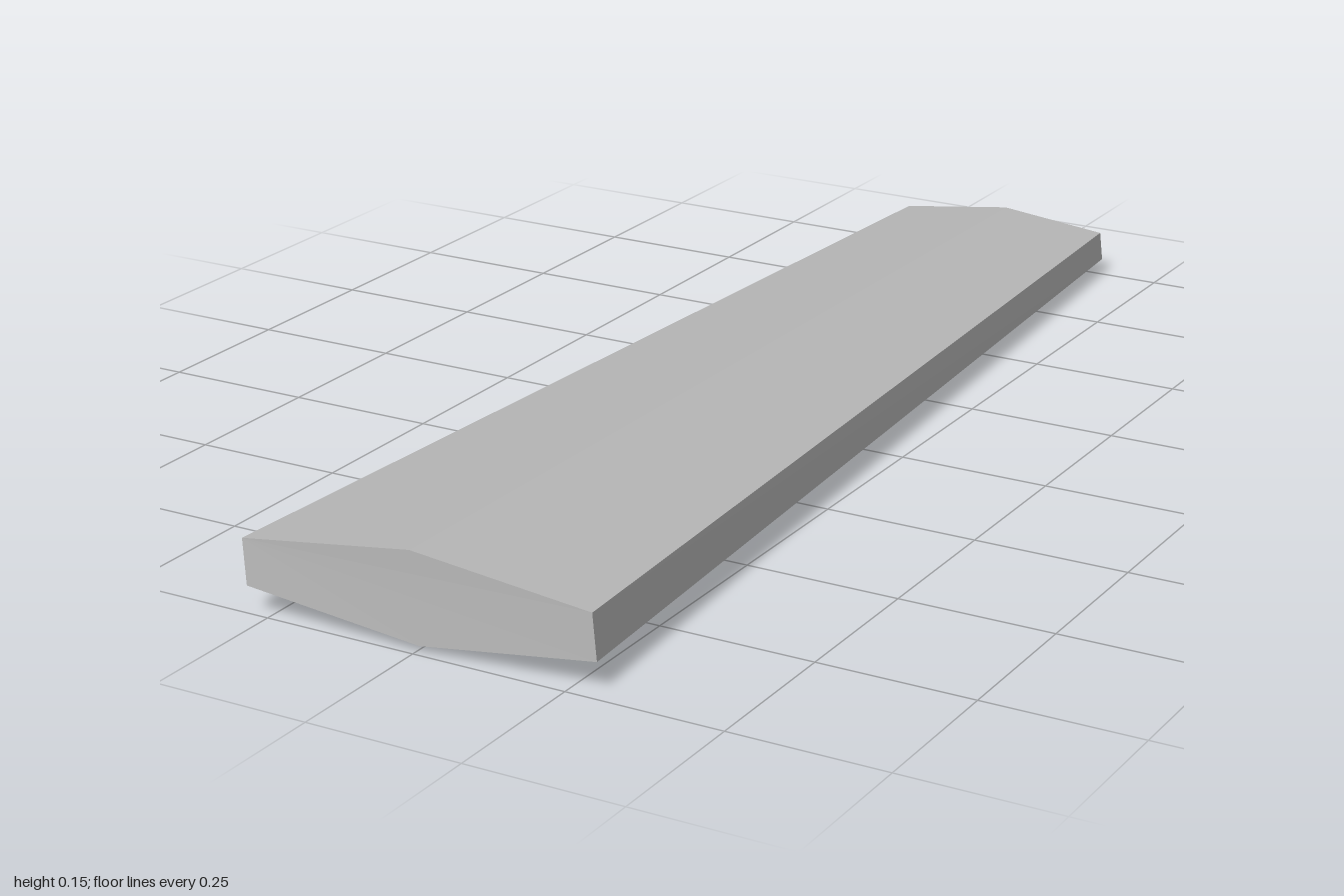
import * as THREE from 'three';

// Six-sided end sections, clockwise as seen from the front
const FRONT = [
  [-0.292, 0.114, 0.995], [-0.009, 0.151, 0.987], [0.283, 0.117, 0.979],
  [0.291, 0.047, 0.982], [0.006, 0.011, 0.992], [-0.284, 0.044, 1.0],
];
const BACK = [
  [-0.248, 0.074, -0.991], [-0.05, 0.1, -0.996], [0.14, 0.079, -1.0],
  [0.146, 0.03, -0.999], [-0.045, 0.001, -0.994], [-0.243, 0.025, -0.989],
];

// Tapered solid joining two matching sections, with flat faces
function loft(front, back) {
  const out = [];
  const tri = (a, b, c) => out.push(...a, ...b, ...c);
  const n = front.length;
  for (let i = 0; i < n; i++) {
    const j = (i + 1) % n;
    tri(front[i], front[j], back[j]);
    tri(front[i], back[j], back[i]);
  }
  for (let i = 1; i < n - 1; i++) {
    tri(front[0], front[i + 1], front[i]);
    tri(back[0], back[i], back[i + 1]);
  }
  const geometry = new THREE.BufferGeometry();
  geometry.setAttribute('position', new THREE.Float32BufferAttribute(out, 3));
  geometry.computeVertexNormals();
  return geometry;
}

export function createModel() {
  const grey = new THREE.MeshStandardMaterial({ color: 0xb8b8b8 });
  grey.name = 'lightGrey';

  // Tapered wing panel, wide at the front and narrow at the back
  const panel = new THREE.Mesh(loft(FRONT, BACK), grey);
  panel.name = 'taperedPanel';

  const model = new THREE.Group();
  model.name = 'wing';
  model.add(panel);
  return model;
}
